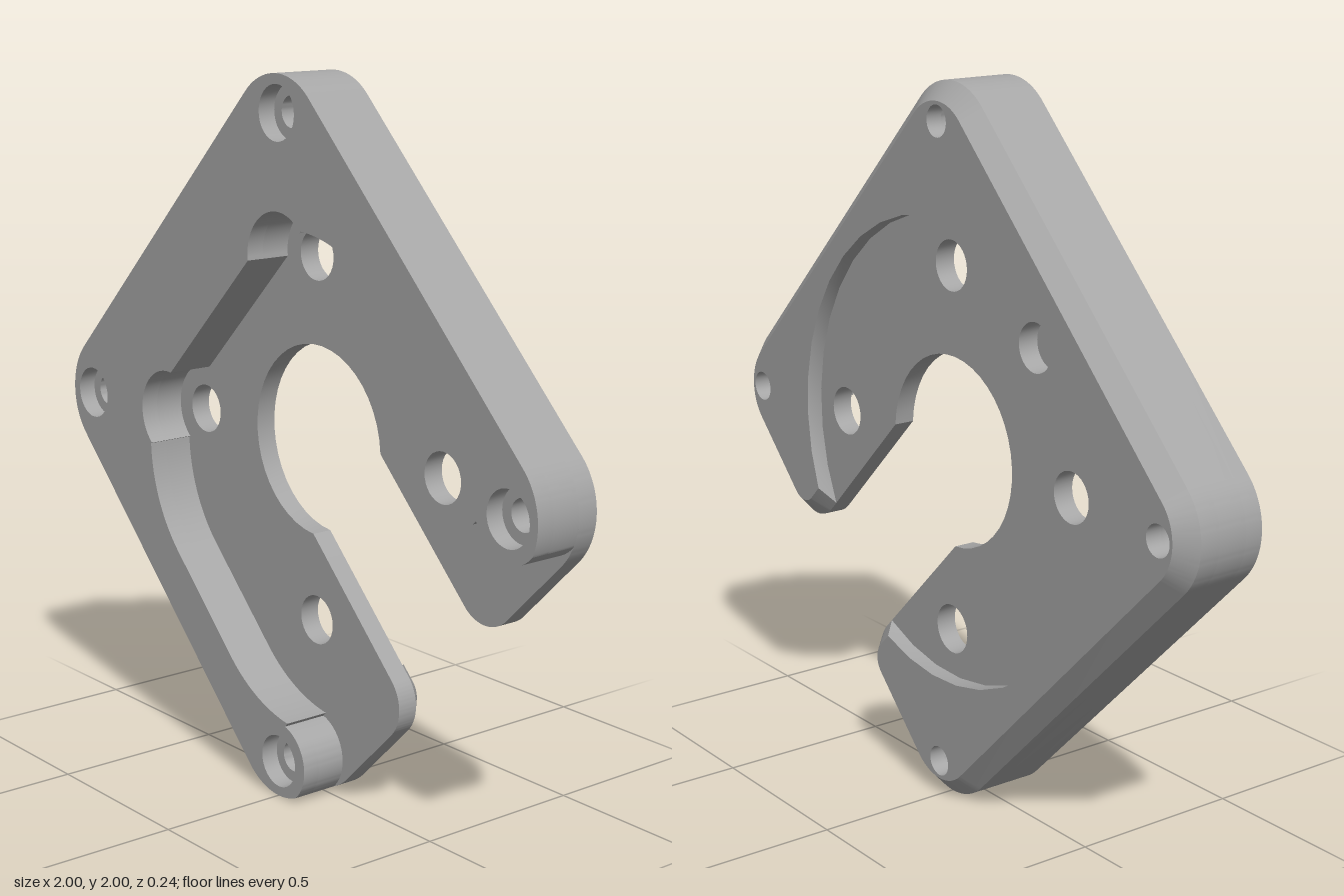
import * as THREE from 'three';
import { toCreasedNormals } from 'three/addons/utils/BufferGeometryUtils.js';

// Plate is drawn square-on (slot opening toward +x), then turned 45 degrees.
const HALF = 0.764, R = 0.19, C = HALF - R;      // half side, corner radius, corner centre
const SLOT = 0.2, TIP = 0.11;                    // slot half width, arm tip radius
const BOLT = 0.636, MOUNT = 0.363;               // corner and inner hole offsets
const Z = { front: 0.122, bore: 0.07, floor: -0.015, recess: -0.075, back: -0.122 };
const rad = THREE.MathUtils.degToRad;
const fourWays = (d) => [[d, d], [-d, d], [-d, -d], [d, -d]];

function arc(path, x, y, r, from, to, cw = false) {
  path.absarc(x, y, r, rad(from), rad(to), cw);
}

function addHoles(shape, centres, r) {
  for (const [x, y] of centres) {
    const hole = new THREE.Path();
    hole.absarc(x, y, r, 0, Math.PI * 2, true);
    shape.holes.push(hole);
  }
  return shape;
}

// Slotted plate outline, inset by d, around a central circle of the given radius
function slottedPlate(d, inner) {
  const s = new THREE.Shape();
  const a = THREE.MathUtils.radToDeg(Math.asin((SLOT + d) / inner));
  const tx = HALF - TIP, ty = SLOT + TIP;
  arc(s, tx, ty, TIP - d, -90, 0);
  fourWays(C).forEach(([x, y], i) => arc(s, x, y, R - d, i * 90, i * 90 + 90));
  arc(s, tx, -ty, TIP - d, 0, 90);
  arc(s, 0, 0, inner, -a, a, true);
  s.closePath();
  return s;
}

// Raised front border: rounded square, end bosses and the stepped pocket wall
function borderShape() {
  const s = new THREE.Shape();
  arc(s, C, C, R, 21.4, 90);
  arc(s, -C, C, R, 90, 180);
  arc(s, -C, -C, R, 180, 270);
  arc(s, C, -C, R, 270, 338.6);
  arc(s, BOLT, -BOLT, 0.115, -3.5, 120);
  arc(s, 0.304, -0.17, 0.445, -52, -90, true);
  arc(s, -0.05, -0.17, 0.445, -90, -133, true);
  arc(s, -MOUNT, -MOUNT, 0.128, -85, -233, true);
  arc(s, -MOUNT, MOUNT, 0.128, -127, -275, true);
  arc(s, -0.05, 0.17, 0.445, 133, 90, true);
  arc(s, 0.304, 0.17, 0.445, 90, 52, true);
  arc(s, BOLT, BOLT, 0.115, -120, 3.5);
  s.closePath();
  return s;
}

function slab(shape, z0, z1) {
  const g = new THREE.ExtrudeGeometry(shape, { depth: z1 - z0, bevelEnabled: false, curveSegments: 16 });
  return toCreasedNormals(g.translate(0, 0, z0), 0.5);
}

// Sloped wall joining two matching outlines (a at za in front, b at zb behind)
function loft(a, za, b, zb) {
  const pos = [];
  for (let i = 0; i < a.length; i++) {
    const j = (i + 1) % a.length;
    const p = [a[i].x, a[i].y, za], q = [a[j].x, a[j].y, za];
    const u = [b[i].x, b[i].y, zb], v = [b[j].x, b[j].y, zb];
    pos.push(...p, ...u, ...q, ...q, ...u, ...v);
  }
  const g = new THREE.BufferGeometry();
  g.setAttribute('position', new THREE.Float32BufferAttribute(pos, 3));
  g.computeVertexNormals();
  return toCreasedNormals(g, 0.5);
}

export function createModel() {
  const model = new THREE.Group();
  model.name = 'mountingPlate';
  const grey = new THREE.MeshStandardMaterial({ color: 0xa6a6a6, side: THREE.DoubleSide });
  grey.name = 'grey';

  const plate = new THREE.Group();
  plate.name = 'slottedPlate';
  const add = (name, geometry) => {
    const mesh = new THREE.Mesh(geometry, grey);
    mesh.name = name;
    plate.add(mesh);
    return mesh;
  };
  const bolts = fourWays(BOLT), mounts = fourWays(MOUNT);

  // Front border, with wider counterbores in its upper part
  add('borderTop', slab(addHoles(borderShape(), bolts, 0.075), Z.bore, Z.front));
  add('borderBase', slab(addHoles(borderShape(), bolts, 0.043), Z.floor, Z.bore));

  // Floor plate with the mounting holes and one blind hole from behind
  const floor = slottedPlate(0, 0.268);
  addHoles(floor, bolts, 0.043);
  addHoles(floor, mounts, 0.07);
  addHoles(floor, [[-0.51, 0]], 0.067);
  add('floorPlate', slab(floor, Z.recess, Z.floor));

  // Chamfered back rim around the round recess
  const wide = slottedPlate(0, 0.65), narrow = slottedPlate(0.05, 0.65);
  add('backChamfer', loft(wide.getPoints(16), Z.recess, narrow.getPoints(16), Z.back));
  const face = new THREE.ShapeGeometry(addHoles(narrow, bolts, 0.043), 16);
  face.rotateY(Math.PI).scale(-1, 1, 1);
  // Mirroring flips the winding, so turn the face back toward the rear
  const index = face.index.array;
  for (let i = 0; i < index.length; i += 3) [index[i], index[i + 1]] = [index[i + 1], index[i]];
  const pos = face.attributes.position;
  const n = face.attributes.normal;
  for (let i = 0; i < pos.count; i++) {
    pos.setZ(i, Z.back);
    n.setXYZ(i, 0, 0, -1);
  }
  // Keep every triangle facing the rear
  const [a, b, c] = [0, 1, 2].map((k) => new THREE.Vector3().fromBufferAttribute(pos, index[k]));
  if (b.sub(a).cross(c.sub(a)).z > 0) index.reverse();
  add('backFace', face);

  // Bolt hole walls through the back rim
  for (const [x, y] of bolts) {
    const wall = new THREE.CylinderGeometry(0.043, 0.043, Z.recess - Z.back, 32, 1, true);
    wall.rotateX(Math.PI / 2);
    add('boltHoleWall', wall).position.set(x, y, (Z.recess + Z.back) / 2);
  }

  plate.rotation.z = -Math.PI / 4;
  plate.position.y = 1;
  model.add(plate);
  return model;
}
